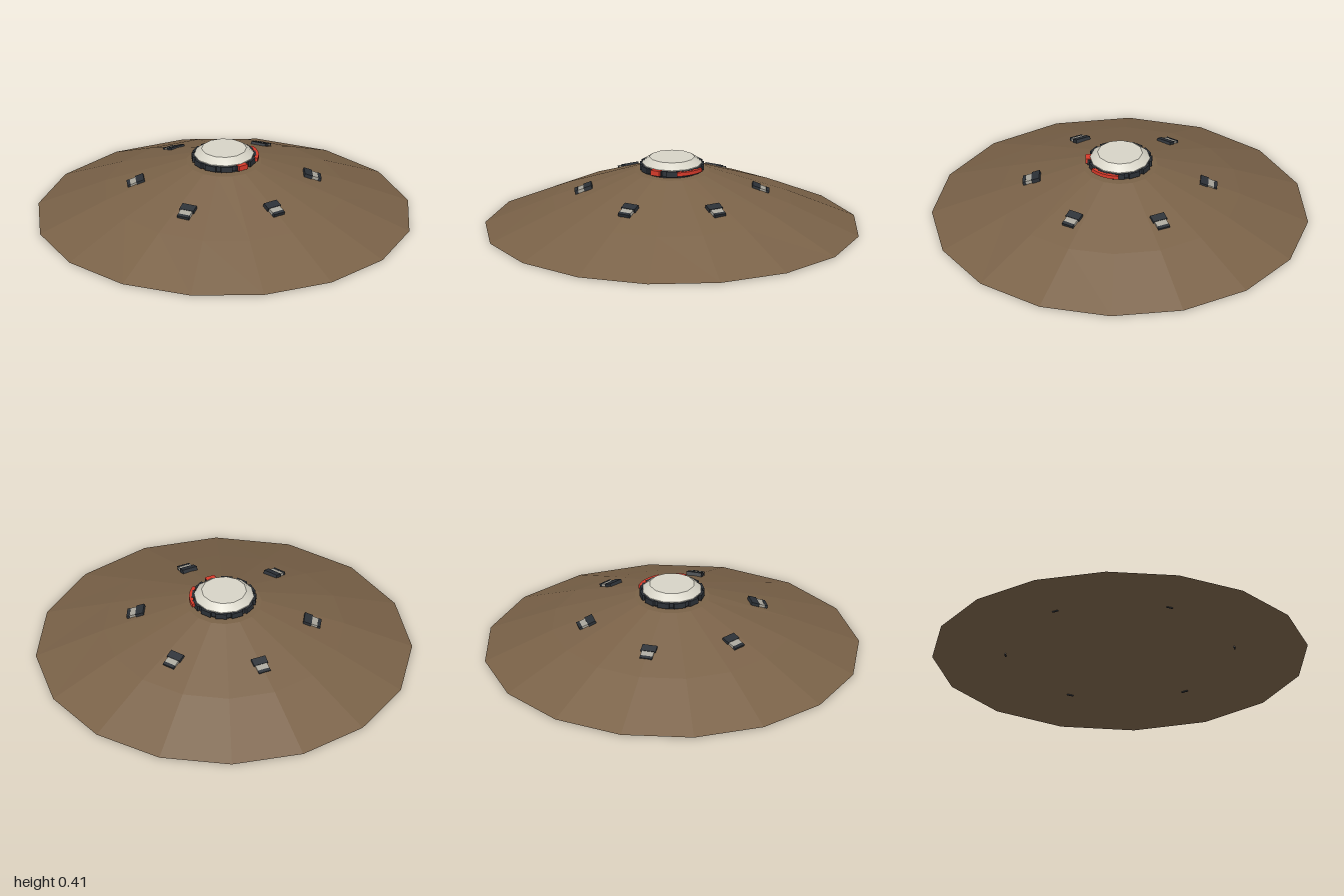
import * as THREE from 'three';
import { toCreasedNormals } from 'three/addons/utils/BufferGeometryUtils.js';

const mat = (color, flatShading = false) => new THREE.MeshStandardMaterial({ color, flatShading });
const lathe = (pts, sides) =>
  new THREE.LatheGeometry(pts.map(([r, y]) => new THREE.Vector2(r, y)), sides);

function part(parent, name, geometry, material, x = 0, y = 0, z = 0) {
  const mesh = new THREE.Mesh(geometry, material);
  mesh.name = name;
  mesh.position.set(x, y, z);
  parent.add(mesh);
  return mesh;
}

export function createModel() {
  const model = new THREE.Group();
  model.name = 'buriedHatchMound';
  const earth = mat(0x7a6248, true);
  const dark = mat(0x2b3036, true);
  const metal = mat(0xa8a59b, true);
  const pale = mat(0xd6d3c6);
  const red = mat(0xd83a2a, true);

  // Sixteen-sided earth mound, sagging a little toward the front
  const mound = lathe([[0, 0.005], [1, 0.005], [0.64, 0.17], [0.2, 0.335], [0, 0.335]], 16);
  const p = mound.attributes.position;
  for (let i = 0; i < p.count; i++) {
    if (Math.abs(p.getY(i) - 0.17) < 0.01) p.setY(i, 0.17 - 0.014 * Math.max(0, p.getZ(i) / 0.64));
  }
  part(model, 'mound', mound, earth);

  // Hatch: dark collar, raised blocks around it and a pale domed lid
  const hatch = new THREE.Group();
  hatch.name = 'hatch';
  model.add(hatch);
  part(hatch, 'collar', lathe([[0, 0.33], [0.15, 0.33], [0.152, 0.345], [0.162, 0.347],
    [0.162, 0.374], [0, 0.374]], 24), dark);
  const block = new THREE.BoxGeometry(0.062, 0.03, 0.02);
  for (let i = 0; i < 12; i++) {
    const a = (i * Math.PI) / 6;
    part(hatch, 'collarBlock', block, dark, 0.16 * Math.sin(a), 0.36, 0.16 * Math.cos(a)).rotation.y = a;
  }
  const lid = lathe([[0.16, 0.37], [0.16, 0.379], [0.15, 0.388], [0.12, 0.41], [0, 0.41]], 12);
  part(hatch, 'lid', toCreasedNormals(lid, 0.55), pale);

  // Red lamp at the front and red curved handle at the front left
  part(hatch, 'lamp', new THREE.BoxGeometry(0.054, 0.028, 0.03), red, 0, 0.364, 0.168);
  const rail = new THREE.Shape();
  rail.absarc(0, 0, 0.185, 0, 0.9, false);
  rail.absarc(0, 0, 0.165, 0.9, 0, true);
  rail.closePath();
  const railGeo = new THREE.ExtrudeGeometry(rail, { depth: 0.02, bevelEnabled: false, curveSegments: 8 });
  railGeo.rotateX(Math.PI / 2);
  part(hatch, 'handle', railGeo, red, 0, 0.374, 0);

  // Six legs: sloping joint plates showing through the mound, and foot tips below
  for (let i = 0; i < 6; i++) {
    const leg = new THREE.Group();
    leg.name = 'leg';
    leg.rotation.y = (i * Math.PI) / 3;
    model.add(leg);
    const joint = new THREE.Group();
    joint.name = 'joint';
    joint.position.set(0, i === 3 ? 0.229 : 0.233, 0.47);
    joint.rotation.x = 0.36;
    leg.add(joint);
    part(joint, 'hingePlate', new THREE.BoxGeometry(0.082, 0.024, 0.044), dark, 0, 0, -0.026);
    part(joint, 'piston', new THREE.BoxGeometry(0.068, 0.018, 0.034), metal, 0, 0, 0.013);
    part(joint, 'endPlate', new THREE.BoxGeometry(0.068, 0.02, 0.018), dark, 0, 0, 0.038);
    part(leg, 'footTip', new THREE.BoxGeometry(0.035, 0.012, 0.008), dark, 0, 0.006, 0.61);
  }
  return model;
}
